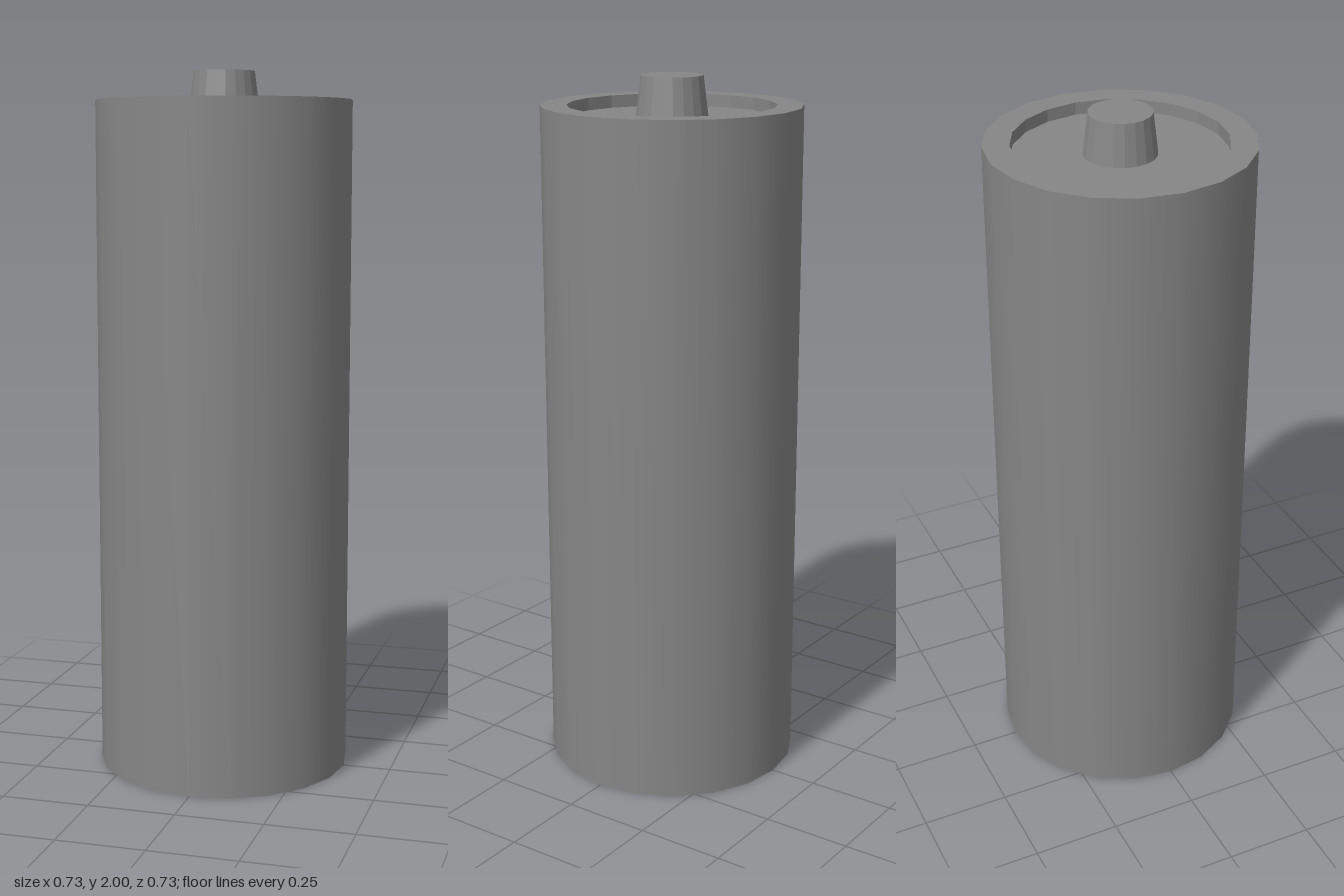
import * as THREE from 'three';

const SIDES = 20;

// Revolves a profile of [radius, height] points, running from bottom to top along the outside
function revolve(name, profile, flatShading) {
  const points = profile.map(([r, y]) => new THREE.Vector2(r, y));
  const material = new THREE.MeshStandardMaterial({ color: 0x868686, flatShading });
  const mesh = new THREE.Mesh(new THREE.LatheGeometry(points, SIDES), material);
  mesh.name = name;
  return mesh;
}

export function createModel() {
  const group = new THREE.Group();
  group.name = 'battery';

  const radius = 0.363, bodyTop = 1.92, topFloor = 1.885, baseFloor = 0.07;

  // Smooth outer casing
  group.add(revolve('casing', [[radius, 0], [radius, bodyTop]], false));

  // Underside: recessed disc inside a wide rim
  group.add(revolve('negativeEnd', [[0, baseFloor], [0.267, baseFloor], [0.267, 0], [radius, 0]], true));

  // Top: rim, short step down and sunken floor
  group.add(revolve('positiveEnd', [[radius, bodyTop], [0.29, bodyTop], [0.29, topFloor], [0, topFloor]], true));

  // Tapered contact standing on the sunken floor
  group.add(revolve('contactNub', [[0.1, topFloor], [0.086, 2], [0, 2]], true));

  return group;
}
